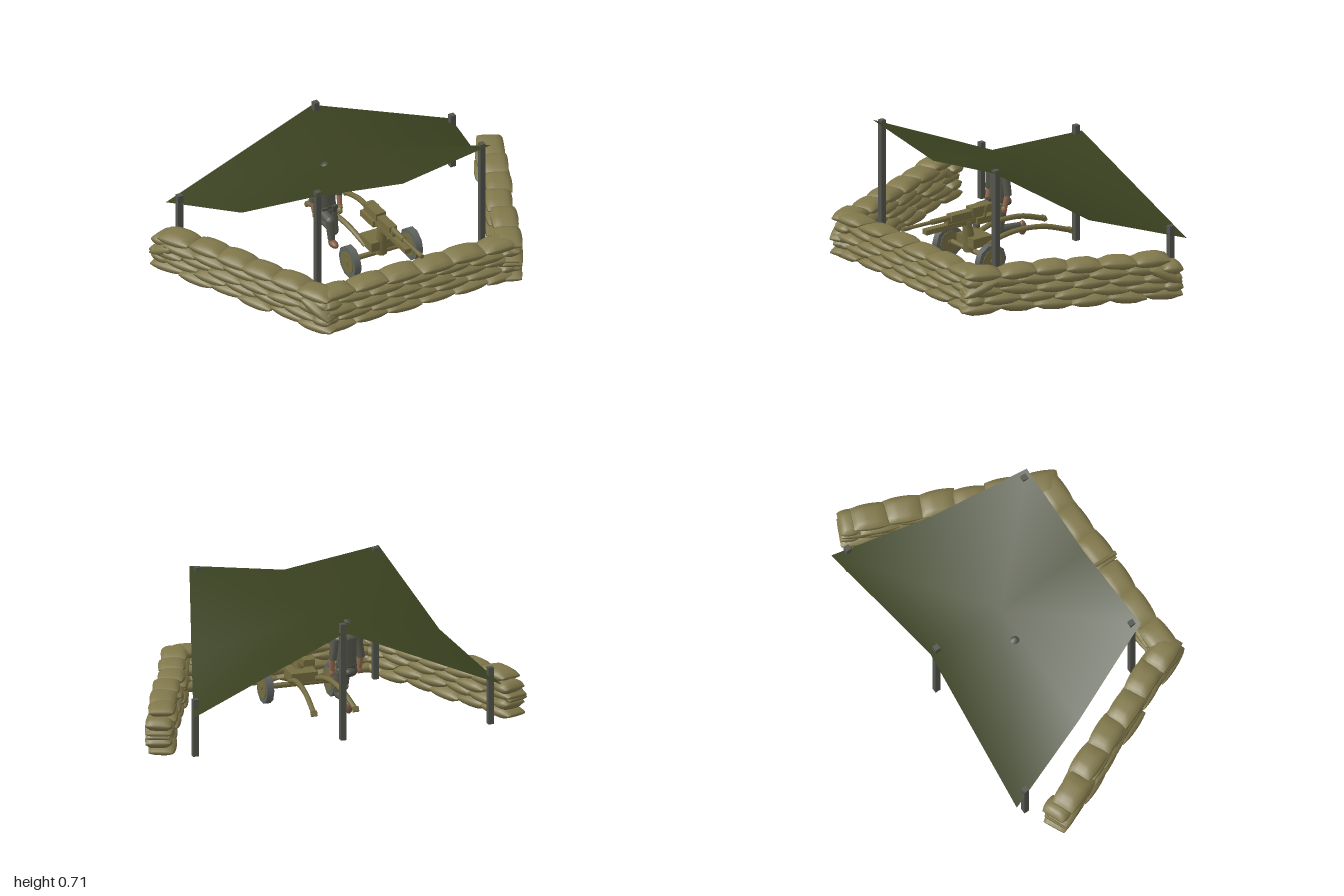
import * as THREE from 'three';
import { mergeVertices } from 'three/addons/utils/BufferGeometryUtils.js';

const V = (x, y, z) => new THREE.Vector3(x, y, z);
const paint = (name, color, extra = {}) => Object.assign(new THREE.MeshStandardMaterial({ color, ...extra }), { name });

export function createModel() {
  const model = new THREE.Group();
  model.name = 'gunEmplacement';

  const burlap = paint('burlap', 0x80774b);
  const canvas = paint('canvas', 0x39401f, { side: THREE.DoubleSide });
  const post = paint('postGrey', 0x52544c);
  const gunPaint = paint('gunPaint', 0x746c40);
  const tyre = paint('tyreGrey', 0x5f635e);
  const uniform = paint('uniform', 0x56574c);
  const helmetPaint = paint('helmet', 0x4a4c42, { side: THREE.DoubleSide });
  const skin = paint('skin', 0x946a50);
  const leather = paint('leather', 0x7c5a40);

  let seed = 7;
  const jitter = (a) => {
    seed = (seed * 16807) % 2147483647;
    return (seed / 2147483647 - 0.5) * 2 * a;
  };

  function add(parent, name, geometry, material, pos = [0, 0, 0], rot = [0, 0, 0]) {
    const mesh = new THREE.Mesh(geometry, material);
    mesh.name = name;
    mesh.position.set(...pos);
    mesh.rotation.set(...rot);
    parent.add(mesh);
    return mesh;
  }
  const group = (name, parent = model) => {
    const g = new THREE.Group();
    g.name = name;
    parent.add(g);
    return g;
  };
  const box = (parent, name, mat, size, pos, rot) => add(parent, name, new THREE.BoxGeometry(...size), mat, pos, rot);

  // Tapered rod between two points
  function limb(parent, name, mat, a, b, ra, rb = ra, sides = 10) {
    const p = V(...a), q = V(...b);
    const mesh = add(parent, name, new THREE.CylinderGeometry(rb, ra, p.distanceTo(q), sides), mat);
    mesh.position.copy(p).lerp(q, 0.5);
    mesh.quaternion.setFromUnitVectors(V(0, 1, 0), q.sub(p).normalize());
    return mesh;
  }

  // Sandbag: a box with a flat middle, sloped ends and softly rounded sides
  let bagGeometry = new THREE.BoxGeometry(1, 1, 1, 8, 2, 6);
  const bp = bagGeometry.attributes.position;
  for (let i = 0; i < bp.count; i++) {
    const u = Math.abs(bp.getX(i) * 2), w = Math.abs(bp.getZ(i) * 2);
    bp.setY(i, bp.getY(i) * (1 - 0.74 * (Math.max(0, u - 0.4) / 0.6) ** 1.3) * (1 - 0.55 * w ** 4));
    bp.setZ(i, bp.getZ(i) * (1 - 0.12 * u * u));
  }
  bagGeometry.deleteAttribute('uv');
  bagGeometry.deleteAttribute('normal');
  bagGeometry = mergeVertices(bagGeometry);
  bagGeometry.computeVertexNormals();

  function bag(parent, pos, rot, length, height = 0.064) {
    const b = add(parent, 'sandbag', bagGeometry, burlap, pos, rot);
    b.scale.set(length, height, 0.135);
  }

  // Wall of bonded courses along its own x axis; odd courses close with short bags
  function wall(name, [x0, z0], [x1, z1], { count, height, overlap, inset, taper }) {
    const g = group(name);
    const length = Math.hypot(x1 - x0, z1 - z0);
    g.position.set(x0, 0, z0);
    g.rotation.y = Math.atan2(z0 - z1, x1 - x0);
    for (let row = 0; row < 5; row++) {
      const begin = row ? inset : 0;
      const step = (length - begin - (row === 4 ? taper : 0)) / count;
      for (let i = 0; i < count + row % 2; i++) {
        const start = begin + Math.max(0, i - (row % 2) / 2) * step;
        const end = begin + Math.min(count, i + 1 - (row % 2) / 2) * step;
        bag(g, [(start + end) / 2 + jitter(0.006), 0.036 + row * 0.0445, jitter(0.012)],
          [jitter(0.05), jitter(0.05), jitter(0.07)], (end - start) * overlap, height);
      }
    }
    return g;
  }
  wall('frontWall', [-0.56, 0.5], [0.56, 0.5], { count: 6, height: 0.056, overlap: 1.02, inset: 0, taper: 0 });
  for (const s of [-1, 1]) {
    const side = wall(s < 0 ? 'rightWall' : 'leftWall', [s * 0.49, 0.572], [s * 0.942, -0.455],
      { count: 6, height: 0.064, overlap: 1.08, inset: 0.02, taper: 0.06 });
    // Slumped bags at both ends of the side wall
    bag(side, [0.09, 0.145, s * 0.012], [0, 0, 0.4], 0.19);
    bag(side, [1.04, 0.14, s * 0.012], [0, 0, -0.42], 0.18);
  }

  // Tent posts
  const posts = group('tentPosts');
  for (const [x, z, top] of [[-0.47, 0.335, 0.71], [0.47, 0.335, 0.71], [-0.78, -0.525, 0.318],
    [0.78, -0.525, 0.318], [0, -0.525, 0.63]])
    box(posts, 'post', post, [0.029, top - 0.02, 0.029], [x, (top + 0.02) / 2, z]);

  // Canvas roof: three rows of three points, folded toward the centre
  const roof = new THREE.BufferGeometry();
  roof.setAttribute('position', new THREE.Float32BufferAttribute([
    -0.5, 0.708, 0.37, 0, 0.633, 0.37, 0.5, 0.708, 0.37,
    -0.655, 0.4, -0.11, 0, 0.555, -0.13, 0.655, 0.4, -0.11,
    -0.815, 0.245, -0.6, 0, 0.592, -0.562, 0.815, 0.245, -0.6], 3));
  const rim = [0, 1, 2, 5, 8, 7, 6, 3];
  roof.setIndex(rim.flatMap((v, i) => [4, v, rim[(i + 1) % 8]]));
  roof.computeVertexNormals();
  add(model, 'canvasRoof', roof, canvas);

  // Field gun
  const gun = group('fieldGun');
  const tube = (name, z0, z1, r) => limb(gun, name, gunPaint, [0, 0.309, z0], [0, 0.309, z1], r, r, 12);
  tube('barrel', 0.2, 0.565, 0.0095);
  tube('muzzle', 0.52, 0.565, 0.0115);
  tube('barrelSleeve', 0.24, 0.38, 0.014);
  box(gun, 'barrelJacket', gunPaint, [0.045, 0.03, 0.2], [0, 0.309, 0.17]);
  box(gun, 'breech', gunPaint, [0.055, 0.04, 0.13], [0, 0.318, 0.08]);
  box(gun, 'breechTail', gunPaint, [0.045, 0.044, 0.028], [0, 0.317, 0.029]);
  box(gun, 'cradle', gunPaint, [0.036, 0.026, 0.36], [0, 0.266, 0.245]);
  box(gun, 'cradleRear', gunPaint, [0.06, 0.034, 0.13], [0, 0.262, 0.05]);
  box(gun, 'cradleLink', gunPaint, [0.03, 0.03, 0.24], [0, 0.287, 0.17]);
  limb(gun, 'pedestal', gunPaint, [0, 0.11, 0.14], [0, 0.27, 0.16], 0.034, 0.024);
  box(gun, 'carriage', gunPaint, [0.14, 0.05, 0.12], [0, 0.165, 0.11]);
  limb(gun, 'axle', gunPaint, [-0.17, 0.11, 0.135], [0.17, 0.11, 0.135], 0.014);
  limb(gun, 'sightArm', gunPaint, [0.02, 0.25, 0.07], [0.028, 0.335, 0.06], 0.008);
  const spin = [0, 0, Math.PI / 2];
  for (const s of [-1, 1]) {
    const wheel = group('wheel', gun);
    wheel.position.set(s * 0.176, 0.108, 0.145);
    add(wheel, 'tyre', new THREE.CylinderGeometry(0.085, 0.085, 0.036, 10), tyre, [0, 0, 0], spin);
    add(wheel, 'wheelDisc', new THREE.CylinderGeometry(0.06, 0.06, 0.042, 14), gunPaint, [0, 0, 0], spin);
    add(wheel, 'hub', new THREE.CylinderGeometry(0.016, 0.016, 0.052, 10), gunPaint, [0, 0, 0], spin);
    // Arched trail leg with its ground spade
    const path = new THREE.CatmullRomCurve3([V(s * 0.06, 0.14, 0.1), V(s * 0.08, 0.185, -0.06),
      V(s * 0.095, 0.18, -0.24), V(s * 0.11, 0.13, -0.405)]);
    add(gun, 'trail', new THREE.TubeGeometry(path, 14, 0.014, 8), gunPaint);
    box(gun, 'spade', gunPaint, [0.03, 0.026, 0.02], [s * 0.11, 0.13, -0.405], [0.5, 0, 0]);
  }

  // Kneeling gunner
  const man = group('gunner');
  man.position.set(-0.15, 0, -0.15);
  const ball = (name, mat, size, pos) => {
    const m = add(man, name, new THREE.SphereGeometry(1, 14, 10), mat, pos);
    m.scale.set(...size);
  };
  const torso = add(man, 'torso', new THREE.CylinderGeometry(0.054, 0.05, 0.16, 14), uniform, [0, 0.345, 0]);
  torso.scale.z = 0.68;
  ball('shoulders', uniform, [0.066, 0.026, 0.034], [0, 0.42, 0]);
  ball('hips', uniform, [0.056, 0.036, 0.04], [0, 0.255, 0]);
  const belt = add(man, 'belt', new THREE.CylinderGeometry(0.053, 0.053, 0.012, 14), helmetPaint, [0, 0.275, 0]);
  belt.scale.z = 0.72;
  limb(man, 'neck', skin, [0, 0.43, 0], [0, 0.465, 0.004], 0.016);
  ball('head', skin, [0.026, 0.034, 0.031], [0, 0.468, 0.007]);
  const helmetProfile = [[0.038, 0], [0.035, 0.01], [0.032, 0.024], [0.022, 0.04], [0, 0.046]];
  add(man, 'helmet', new THREE.LatheGeometry(helmetProfile.map(([x, y]) => new THREE.Vector2(x, y)), 16),
    helmetPaint, [0, 0.474, 0]).scale.z = 1.1;
  for (const s of [-1, 1]) {
    limb(man, 'sleeve', uniform, [s * 0.06, 0.42, 0], [s * 0.076, 0.315, -0.004], 0.022, 0.02);
    limb(man, 'forearm', skin, [s * 0.076, 0.33, -0.004], [s * 0.072, 0.255, 0.012], 0.016, 0.013);
    ball('hand', skin, [0.014, 0.021, 0.016], [s * 0.071, 0.243, 0.015]);
    box(man, 'pouch', helmetPaint, [0.03, 0.032, 0.016], [s * 0.028, 0.265, 0.038]);
  }
  ball('canteen', gunPaint, [0.014, 0.02, 0.024], [0.05, 0.252, 0.045]);
  // Raised leg in front, folded leg behind
  limb(man, 'frontThigh', uniform, [-0.03, 0.245, 0], [-0.034, 0.245, 0.1], 0.03, 0.024);
  ball('frontKnee', uniform, [0.025, 0.025, 0.025], [-0.034, 0.243, 0.1]);
  limb(man, 'frontShin', uniform, [-0.034, 0.24, 0.102], [-0.032, 0.14, 0.112], 0.024, 0.018);
  ball('frontBoot', leather, [0.021, 0.02, 0.04], [-0.032, 0.125, 0.132]);
  limb(man, 'rearThigh', uniform, [0.03, 0.25, 0], [0.032, 0.13, 0.02], 0.031, 0.025);
  ball('rearKnee', uniform, [0.026, 0.026, 0.026], [0.032, 0.126, 0.02]);
  limb(man, 'rearShin', uniform, [0.032, 0.125, 0.02], [0.032, 0.12, -0.11], 0.024, 0.018);
  ball('rearBoot', leather, [0.021, 0.038, 0.022], [0.032, 0.105, -0.128]);
  ball('beltPack', helmetPaint, [0.035, 0.022, 0.025], [0, 0.255, -0.05]);

  return model;
}
